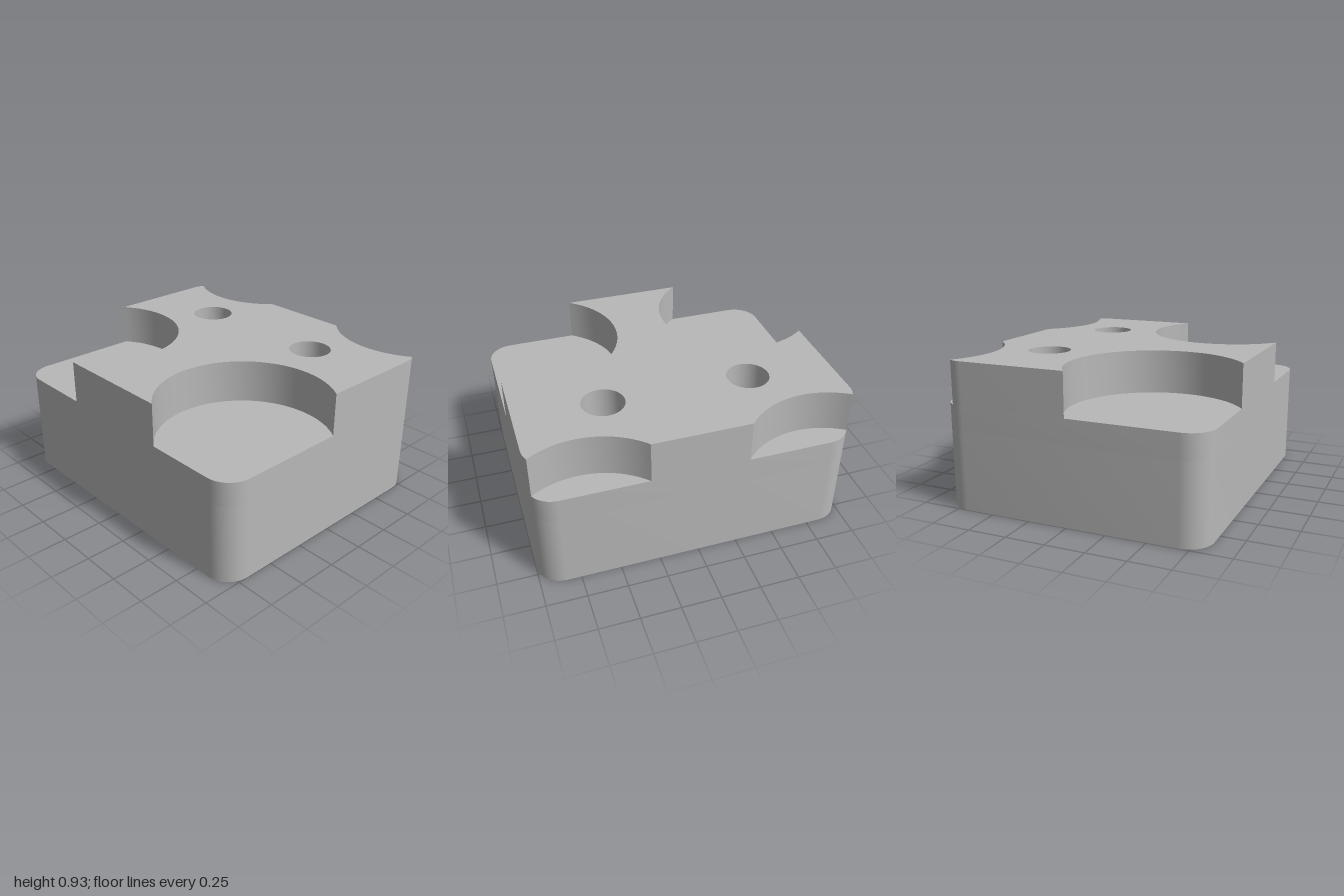
import * as THREE from 'three';
import { toCreasedNormals } from 'three/addons/utils/BufferGeometryUtils.js';

const W = 1, D = 0.845, R = 0.16;           // half width, half depth, corner radius
const FLOOR = 0.655, TOP = 0.925, BORE = 0.5; // pocket floor, top face, depth of wide bores
const SCREWS = [[-0.46, -0.39], [0.46, -0.39]];
const FRONT_BORE = [0, 0.3];

// Points on an arc; plan coordinates use (x, -z)
function arc(cx, cy, r, a0, a1, n) {
  return Array.from({ length: n + 1 }, (_, i) => {
    const a = a0 + (a1 - a0) * i / n;
    return new THREE.Vector2(cx + r * Math.cos(a), cy + r * Math.sin(a));
  });
}

// Closed outline from its +x half, listed from front to back
function mirrored(half) {
  const other = half.map(p => new THREE.Vector2(-p.x, p.y)).reverse();
  return new THREE.Shape([...half, ...other]);
}

function blockOutline() {
  return mirrored([
    ...arc(W - R, R - D, R, -Math.PI / 2, 0, 12),
    ...arc(W - R, D - R, R, 0, Math.PI / 2, 12),
  ]);
}

// Outline with a round pocket cut from each corner
function pocketOutline() {
  const r = 0.52, x = 0.69, yFront = -0.42, yBack = 1.195;
  const front = arc(x, yFront, r, Math.atan2(-0.425, -0.2996) + 2 * Math.PI, Math.atan2(0.4175, 0.31), 40);
  const meet = new THREE.Vector2(0.9797, 0.7631);
  const corner = arc(W - R, D - R, R, 0, Math.atan2(meet.y - D + R, meet.x - W + R), 6);
  const back = arc(x, yBack, r, Math.atan2(meet.y - yBack, meet.x - x), Math.atan2(D - yBack, -0.3846), 24);
  return mirrored([...front, ...corner, ...back.slice(1)]);
}

function layer(name, shape, holes, y0, y1, material) {
  for (const [x, z, r] of holes) {
    shape.holes.push(new THREE.Path().setFromPoints(arc(x, -z, r, 0, -2 * Math.PI, 48).slice(0, -1)));
  }
  const geo = new THREE.ExtrudeGeometry(shape, { depth: y1 - y0, bevelEnabled: false });
  geo.rotateX(-Math.PI / 2);
  geo.translate(0, y0, 0);
  const mesh = new THREE.Mesh(toCreasedNormals(geo, 0.5), material);
  mesh.name = name;
  return mesh;
}

export function createModel() {
  const group = new THREE.Group();
  group.name = 'mountingBlock';
  const grey = new THREE.MeshStandardMaterial({ color: 0xb8b8b8 });
  grey.name = 'grey';

  const narrow = SCREWS.map(([x, z]) => [x, z, 0.133]);
  const wide = [...SCREWS, FRONT_BORE].map(([x, z]) => [x, z, 0.24]);

  group.add(
    layer('boredBase', blockOutline(), wide, 0, BORE, grey),
    layer('pocketFloor', blockOutline(), narrow, BORE, FLOOR, grey),
    layer('pocketedTop', pocketOutline(), narrow, FLOOR, TOP, grey),
  );
  return group;
}
